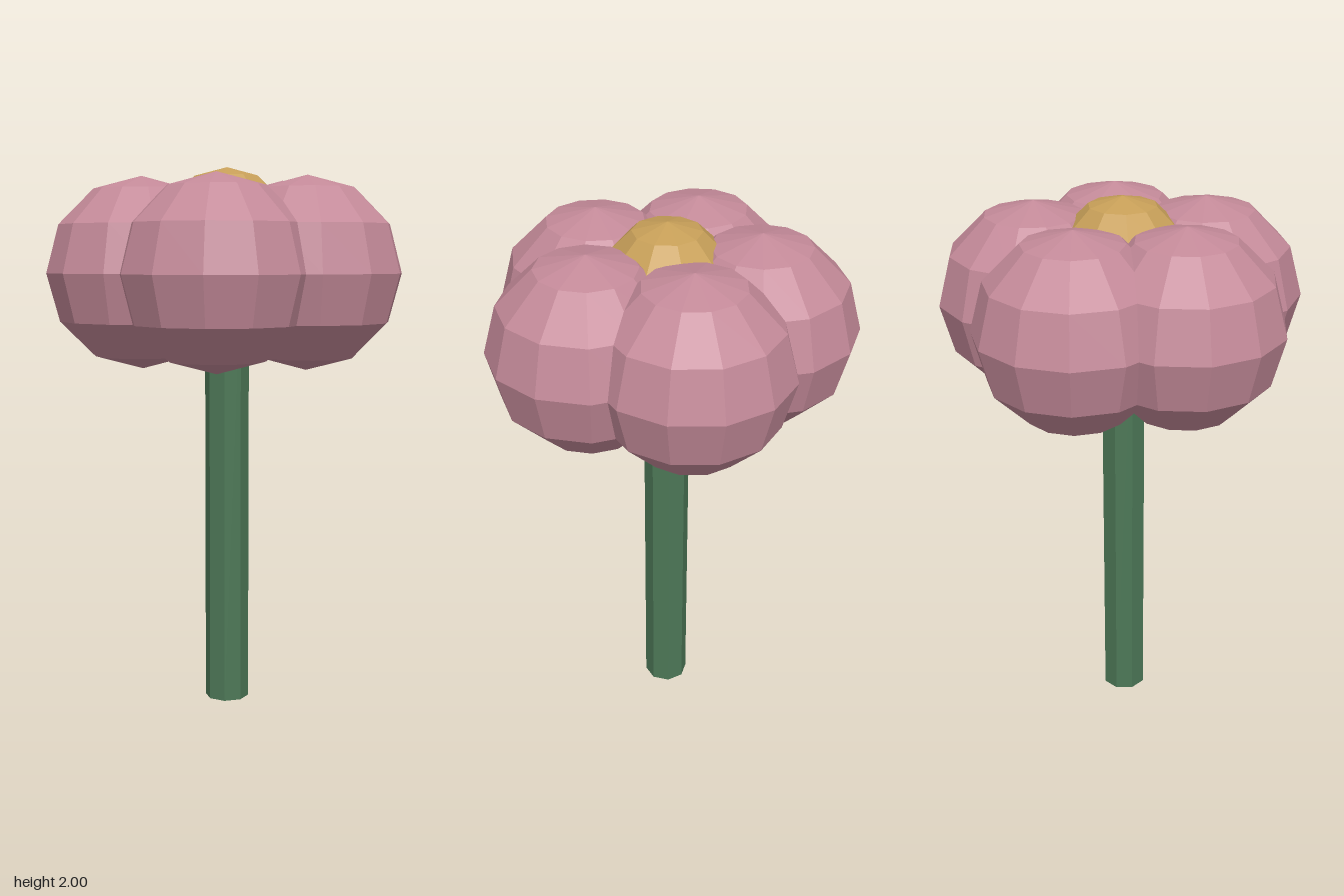
import * as THREE from 'three';

export function createModel() {
  const flower = new THREE.Group();
  flower.name = 'flower';

  const material = (name, color) => {
    const m = new THREE.MeshStandardMaterial({ color, flatShading: true });
    m.name = name;
    return m;
  };
  const pink = material('petal pink', 0xc48a99);
  const gold = material('centre gold', 0xc79f58);
  const green = material('stem green', 0x4d7857);

  const axisZ = -0.03; // the stem sits slightly behind the middle
  const add = (name, geometry, mat, x, y, z) => {
    const mesh = new THREE.Mesh(geometry, mat);
    mesh.name = name;
    mesh.position.set(x, y, z);
    flower.add(mesh);
    return mesh;
  };

  // Octagonal stem, running up into the bloom
  const stemHeight = 1.62;
  add('stem', new THREE.CylinderGeometry(0.082, 0.082, stemHeight, 8), green, 0, stemHeight / 2, axisZ);

  // Five overlapping round petals, each turned with its place in the ring
  const petalGeometry = new THREE.SphereGeometry(0.348, 12, 6);
  const ringRadius = 0.315;
  for (let i = 0; i < 5; i++) {
    const angle = (i / 5) * Math.PI * 2;
    const petal = add('petal' + (i + 1), petalGeometry, pink,
      Math.sin(angle) * ringRadius, 1.617, axisZ + Math.cos(angle) * ringRadius);
    petal.rotation.y = angle;
  }

  // Flower centre, with a corner facing forwards
  const centre = add('flowerCentre', new THREE.SphereGeometry(0.24, 10, 6), gold, 0, 1.76, axisZ);
  centre.rotation.y = Math.PI / 2;

  return flower;
}
